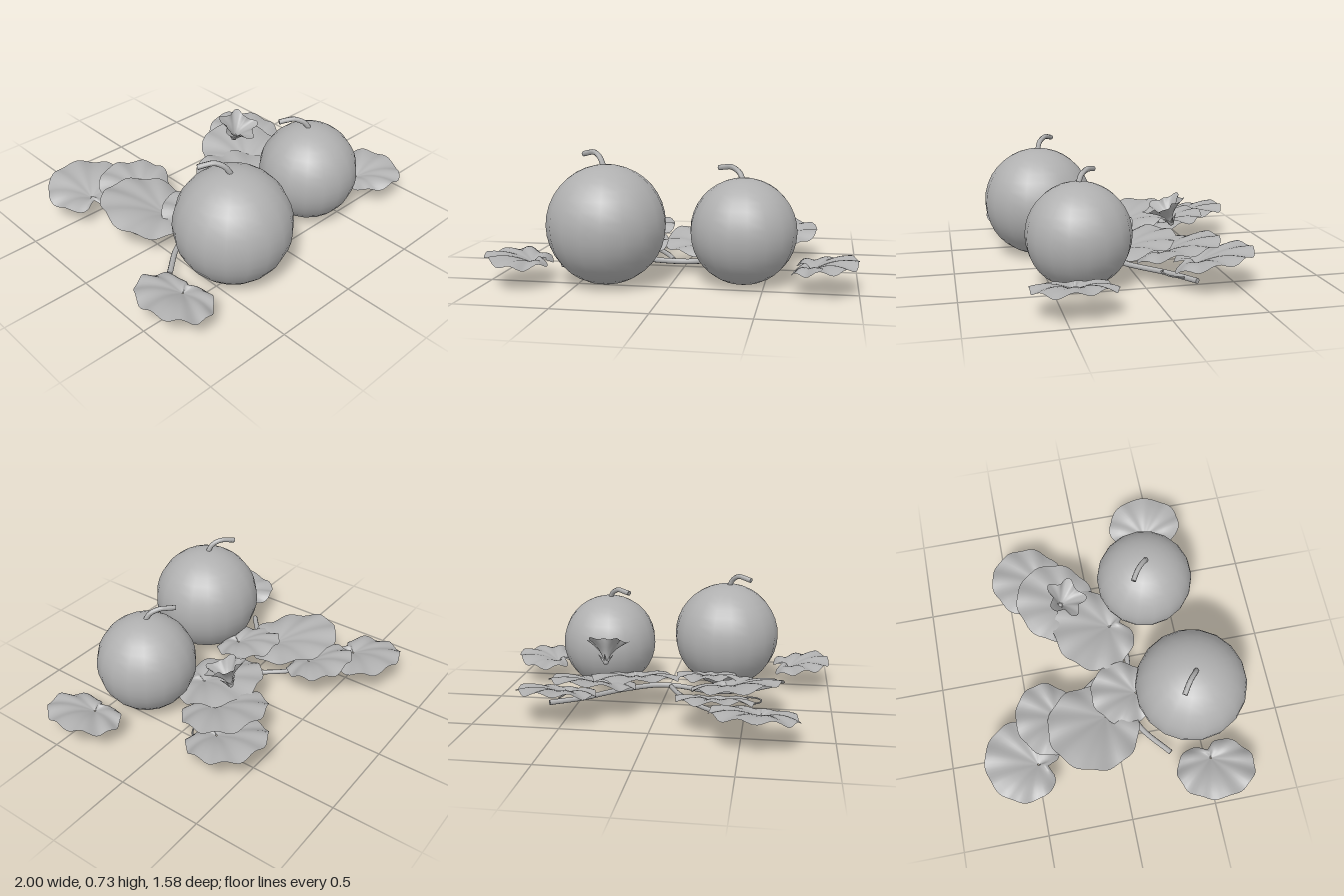
import * as THREE from 'three';

const material = new THREE.MeshStandardMaterial({ color: 0xb0b0b0, side: THREE.DoubleSide });
material.name = 'plain grey';

function add(group, name, geometry) {
  const mesh = new THREE.Mesh(geometry, material);
  mesh.name = name;
  group.add(mesh);
  return mesh;
}

// Sheet of rings around a centre; point(t, angle) returns [x, y, z]
function radialSheet(rings, segments, point) {
  const positions = [], index = [];
  for (let i = 0; i <= rings; i++) {
    for (let j = 0; j < segments; j++) {
      positions.push(...point(Math.max(i / rings, 0.02), (j / segments) * Math.PI * 2));
    }
  }
  for (let i = 0; i < rings; i++) {
    for (let j = 0; j < segments; j++) {
      const k = (j + 1) % segments;
      const a = i * segments + j, b = i * segments + k;
      const c = a + segments, d = b + segments;
      index.push(a, b, c, b, d, c);
    }
  }
  const geometry = new THREE.BufferGeometry();
  geometry.setAttribute('position', new THREE.Float32BufferAttribute(positions, 3));
  geometry.setIndex(index);
  geometry.computeVertexNormals();
  return geometry;
}

// Round leaf: low at the notch, rising to the far edge, folded along the rim
function leafGeometry(rx, rz, notch, slope) {
  const ca = Math.cos(notch), sa = Math.sin(notch);
  return radialSheet(7, 60, (t, angle) => {
    const w = angle > Math.PI ? angle - Math.PI * 2 : angle;
    const k = 1 + 0.02 * Math.cos(9 * w) - 0.35 * Math.exp(-((w / 0.2) ** 2));
    const u = 0.4 + (Math.cos(w) * k - 0.4) * t;
    const v = Math.sin(w) * k * t;
    const x = (u * ca - v * sa) * rx, z = (u * sa + v * ca) * rz;
    const dome = 0.035 * Math.sin(Math.PI * t * 0.85) - 0.018;
    const folds = t * t * (0.013 * Math.cos(8 * w) + 0.008 * Math.sin(3 * w));
    return [x, dome + folds - slope * (x * ca + z * sa), z];
  });
}

function tube(points, radius, segments = 24, sides = 8) {
  const curve = new THREE.CatmullRomCurve3(points.map(p => new THREE.Vector3(...p)));
  return new THREE.TubeGeometry(curve, segments, radius, sides);
}

// Flat cap closing the end of a tube
function cap(group, name, at, toward, radius) {
  const mesh = add(group, name, new THREE.CircleGeometry(radius, 8));
  mesh.position.set(...at);
  mesh.lookAt(new THREE.Vector3(...at).add(new THREE.Vector3(...toward)));
}

export function createModel() {
  const model = new THREE.Group();
  model.name = 'gourdPlant';

  // Round fruits with hooked stalks
  const fruits = [
    { at: [-0.348, 0.331, 0.466], r: 0.325,
      stalk: [[-0.355, 0.63, 0.465], [-0.385, 0.69, 0.445], [-0.425, 0.715, 0.41], [-0.46, 0.71, 0.385], [-0.5, 0.7, 0.36]] },
    { at: [0.382, 0.294, 0.345], r: 0.29,
      stalk: [[0.38, 0.56, 0.345], [0.355, 0.61, 0.325], [0.31, 0.635, 0.285], [0.28, 0.632, 0.262], [0.235, 0.624, 0.235]] },
  ];
  fruits.forEach(({ at, r, stalk }) => {
    const fruit = new THREE.Group();
    fruit.name = 'fruit';
    add(fruit, 'fruitBody', new THREE.SphereGeometry(r, 18, 18)).position.set(...at);
    add(fruit, 'fruitStalk', tube(stalk, 0.015, 12, 7));
    cap(fruit, 'stalkEnd', stalk[4], [-0.8, -0.2, -0.5], 0.015);
    model.add(fruit);
  });

  // Leaves: x, y, z, radius in x, radius in z, notch angle, rise away from the notch
  const leaves = [
    [-0.57, 0.163, -0.57, 0.24, 0.22, 1.9, 0.18],
    [-0.35, 0.172, -0.39, 0.22, 0.185, 1.6, 0.24],
    [-0.455, 0.18, -0.13, 0.265, 0.27, 0.95, 0.22],
    [-0.275, 0.16, 0.085, 0.195, 0.195, 1.6, 0.2],
    [0.155, 0.165, -0.01, 0.265, 0.25, 1.4, 0.2],
    [0.37, 0.187, -0.21, 0.25, 0.24, 1.9, 0.24],
    [0.545, 0.17, -0.355, 0.225, 0.225, 1.8, 0.22],
    [-0.82, 0.142, 0.53, 0.18, 0.23, -0.15, 0.15],
    [0.82, 0.142, 0.445, 0.18, 0.225, Math.PI + 0.15, 0.15],
  ];
  leaves.forEach(([x, y, z, rx, rz, notch, slope]) => {
    add(model, 'leaf', leafGeometry(rx, rz, notch, slope)).position.set(x, y, z);
  });

  // Trailing vine and its branch
  add(model, 'mainVine', tube([
    [-0.66, 0.057, 0.3], [-0.47, 0.06, 0.15], [-0.28, 0.065, 0.1], [-0.08, 0.07, 0.155],
    [0.05, 0.07, 0.155], [0.25, 0.068, 0.04], [0.45, 0.065, -0.14], [0.62, 0.065, -0.25],
  ], 0.016, 40));
  cap(model, 'vineEnd', [-0.66, 0.057, 0.3], [-0.8, 0, 0.6], 0.016);
  cap(model, 'vineEnd', [0.62, 0.065, -0.25], [0.8, 0, -0.5], 0.016);
  add(model, 'branchVine', tube([
    [-0.04, 0.072, 0.13], [-0.1, 0.074, 0.0], [-0.2, 0.074, -0.15], [-0.33, 0.072, -0.27], [-0.53, 0.07, -0.345],
  ], 0.014, 28));
  cap(model, 'vineEnd', [-0.53, 0.07, -0.345], [-0.9, 0, -0.3], 0.014);

  // Curling tendrils
  const curl = [];
  for (let i = 0; i <= 14; i++) {
    const a = (i / 14) * Math.PI * 2.1;
    curl.push([-0.53 + 0.065 * Math.cos(a), 0.078 + i * 0.001, -0.1 + 0.065 * Math.sin(a)]);
  }
  add(model, 'tendril', tube(curl, 0.005, 40, 5));
  add(model, 'tendril', tube([[0.42, 0.07, -0.12], [0.48, 0.085, -0.09], [0.55, 0.08, -0.12], [0.58, 0.075, -0.19]], 0.005, 16, 5));

  // Open star-shaped blossom, tipped forward
  const flower = new THREE.Group();
  flower.name = 'flower';
  flower.position.set(0.295, 0.31, -0.195);
  flower.rotation.x = 0.38;
  add(flower, 'petals', radialSheet(7, 50, (t, a) => {
    const tip = 0.5 + 0.5 * Math.cos(5 * a);
    const r = (0.014 + 0.116 * t ** 1.6) * (1 - 0.34 * (1 - tip) * t * t);
    return [r * Math.sin(a), 0.12 * t ** 0.8 + 0.005 * t * t * Math.cos(10 * a), r * Math.cos(a)];
  }));
  add(flower, 'flowerBase', new THREE.SphereGeometry(0.018, 8, 6));
  for (let i = 0; i < 5; i++) {
    const sepal = new THREE.Group();
    sepal.rotation.y = (i + 0.5) * Math.PI * 0.4;
    const blade = add(sepal, 'sepal', new THREE.ConeGeometry(0.009, 0.055, 5));
    blade.position.set(0, 0.022, 0.03);
    blade.rotation.x = 0.8;
    flower.add(sepal);
  }
  model.add(flower);

  return model;
}
